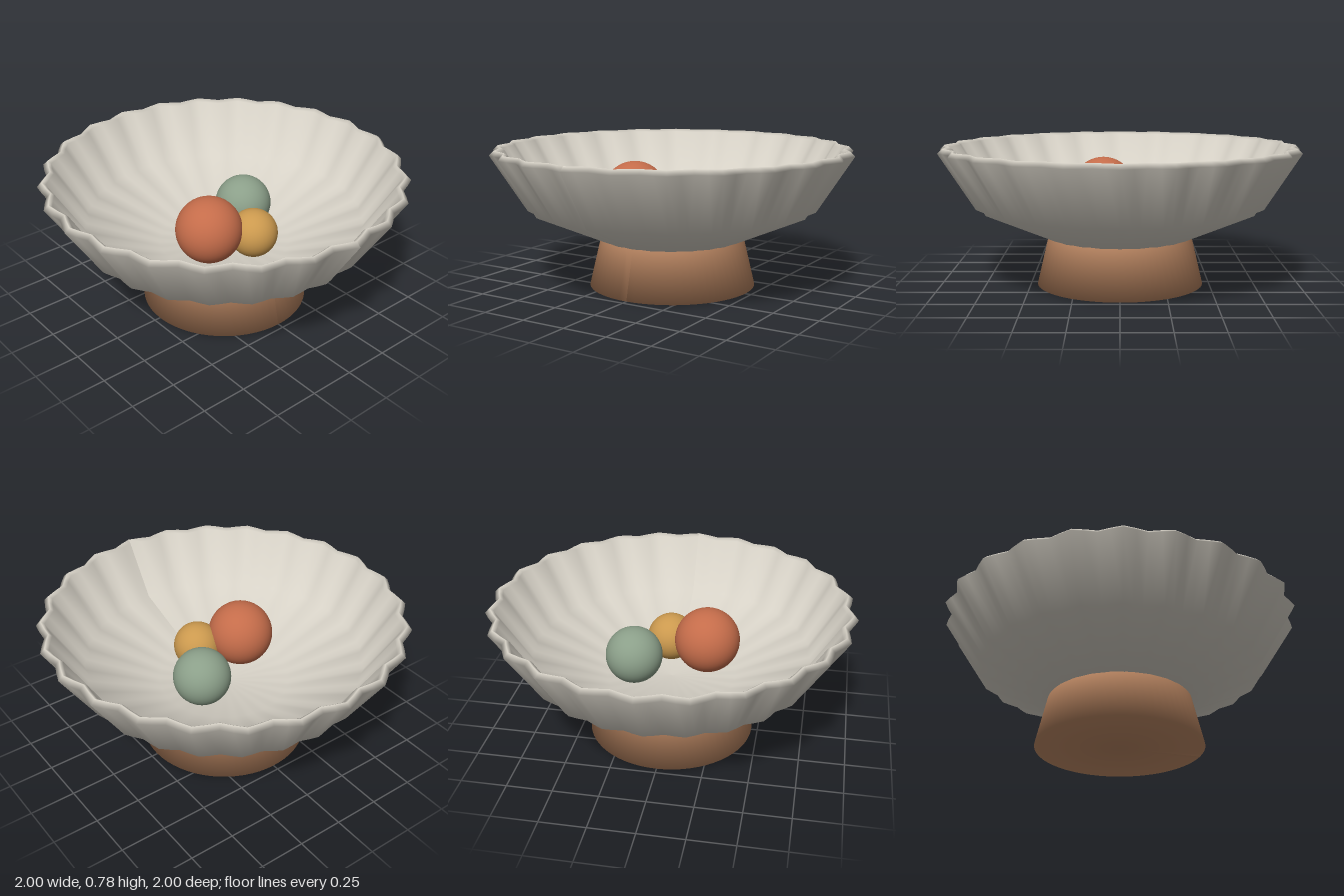
import * as THREE from 'three';

const mat = (name, color) => {
  const m = new THREE.MeshStandardMaterial({ color });
  m.name = name;
  return m;
};

const add = (group, name, geometry, material, position = [0, 0, 0]) => {
  const mesh = new THREE.Mesh(geometry, material);
  mesh.name = name;
  mesh.position.set(...position);
  group.add(mesh);
};

const lathe = (profile, segments) =>
  new THREE.LatheGeometry(profile.map(([r, y]) => new THREE.Vector2(r, y)), segments);

// Turned bowl whose wall is pushed in and out into vertical flutes
function flutedBowl(flutes) {
  const geo = lathe([
    [0, 0.27], [0.4, 0.27], [0.79, 0.445], [0.98, 0.755], [0.955, 0.78],
    [0.935, 0.765], [0.76, 0.48], [0.36, 0.335], [0, 0.315],
  ], flutes * 4);
  const p = geo.attributes.position;
  for (let i = 0; i < p.count; i++) {
    const x = p.getX(i), z = p.getZ(i);
    const s = 1 + 0.021 * Math.hypot(x, z) * Math.cos(flutes * Math.atan2(x, z));
    p.setXYZ(i, x * s, p.getY(i), z * s);
  }
  geo.computeVertexNormals();
  return geo;
}

export function createModel() {
  const model = new THREE.Group();
  model.name = 'fruitBowl';

  const stoneware = mat('stoneware', 0xd6d1c6);
  const clay = mat('clay', 0xba8662);

  // Flared foot with a soft base edge
  const foot = lathe([[0, 0], [0.465, 0], [0.4, 0.275]], 64);
  foot.computeVertexNormals();
  add(model, 'foot', foot, clay);

  add(model, 'flutedBowl', flutedBowl(24), stoneware);

  // Three balls resting in the bowl
  const balls = [
    ['largeBall', 0.182, [-0.187, 0.51, 0.096], mat('terracotta', 0xc46c4a)],
    ['mediumBall', 0.158, [0.198, 0.47, -0.07], mat('sage', 0x8b9f89)],
    ['smallBall', 0.134, [0.037, 0.455, 0.203], mat('ochre', 0xcb994e)],
  ];
  for (const [name, r, pos, material] of balls)
    add(model, name, new THREE.SphereGeometry(r, 40, 28), material, pos);

  return model;
}
